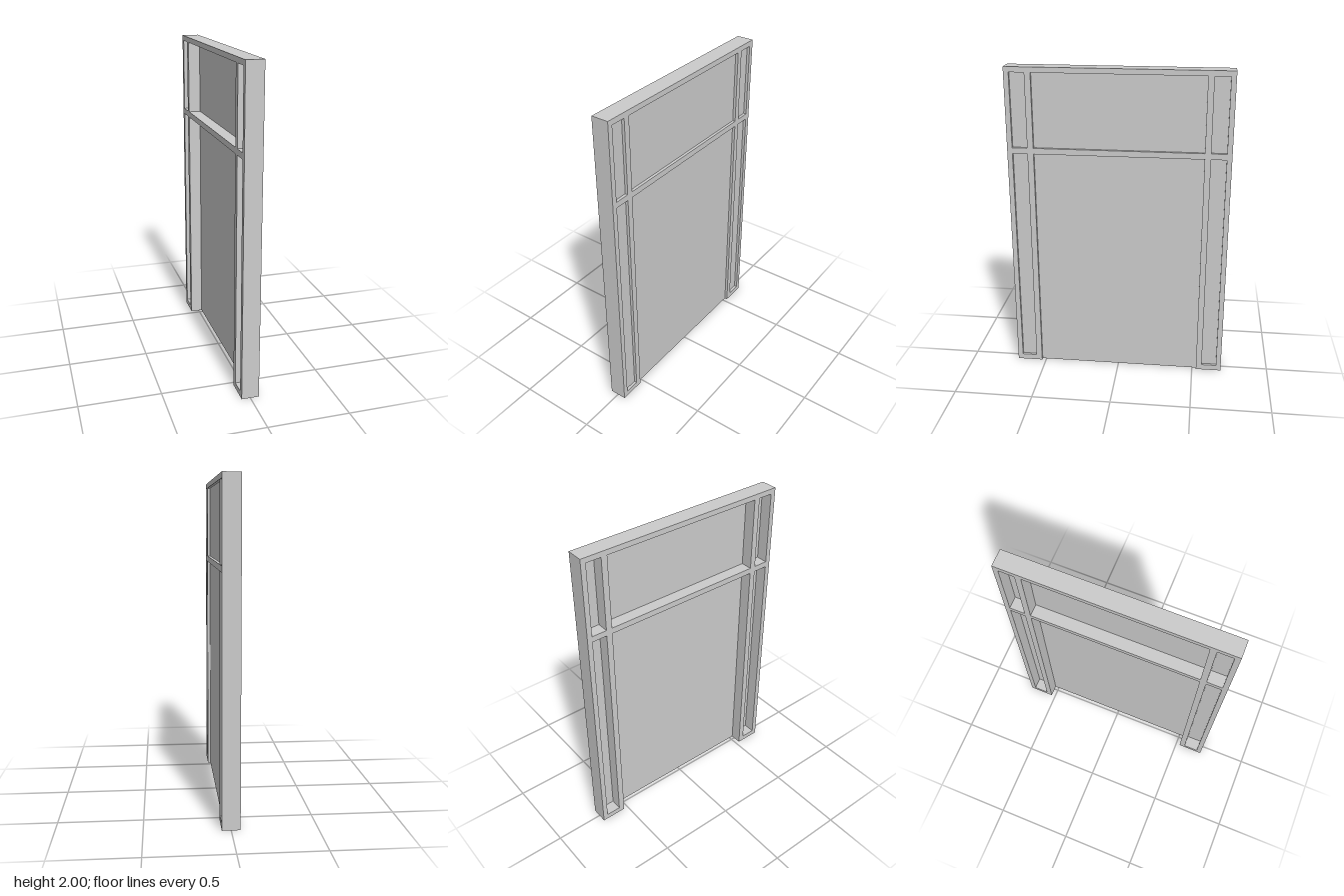
import * as THREE from 'three';

const DEPTH = 0.108;                         // frame thickness along x
const HALF = 0.692, HEIGHT = 2;              // overall half width (z) and height (y)
const SIDE_OUT = 0.66, SIDE_IN = 0.565;      // side light opening
const DOOR = 0.527;                          // half width of the middle opening
const SILL = 0.036, RAIL_LOW = 1.465, RAIL_HIGH = 1.502, HEAD = 1.967;
const PANEL_X = 0.029, PANEL_T = 0.014;      // pane position and thickness

export function createModel() {
  const group = new THREE.Group();
  const material = new THREE.MeshStandardMaterial({ color: 0xcccccc, flatShading: true });

  // openings as [name, z0, z1, y0, y1]
  const openings = [
    ['doorPanel', -DOOR, DOOR, 0, RAIL_LOW],
    ['transomPanel', -DOOR, DOOR, RAIL_HIGH, HEAD],
  ];
  for (const [side, a, b] of [['front', SIDE_IN, SIDE_OUT], ['back', -SIDE_OUT, -SIDE_IN]]) {
    openings.push([side + 'SidePanel', a, b, SILL, RAIL_LOW]);
    openings.push([side + 'UpperSidePanel', a, b, RAIL_HIGH, HEAD]);
  }

  // frame outline with the middle opening running down to the floor
  const outline = new THREE.Shape([
    [-HALF, 0], [-DOOR, 0], [-DOOR, RAIL_LOW], [DOOR, RAIL_LOW],
    [DOOR, 0], [HALF, 0], [HALF, HEIGHT], [-HALF, HEIGHT],
  ].map(([z, y]) => new THREE.Vector2(z, y)));
  for (const [, z0, z1, y0, y1] of openings.slice(1)) {
    outline.holes.push(new THREE.Path([
      new THREE.Vector2(z0, y0), new THREE.Vector2(z0, y1),
      new THREE.Vector2(z1, y1), new THREE.Vector2(z1, y0),
    ]));
  }
  const frameGeometry = new THREE.ExtrudeGeometry(outline, { depth: DEPTH, bevelEnabled: false });
  frameGeometry.translate(0, 0, -DEPTH / 2).rotateY(-Math.PI / 2);
  const frame = new THREE.Mesh(frameGeometry, material);
  frame.name = 'frame';
  group.add(frame);

  // thin panes, set close to the +x face
  for (const [name, z0, z1, y0, y1] of openings) {
    const pane = new THREE.Mesh(new THREE.BoxGeometry(PANEL_T, y1 - y0, z1 - z0), material);
    pane.position.set(PANEL_X, (y0 + y1) / 2, (z0 + z1) / 2);
    pane.name = name;
    group.add(pane);
  }
  return group;
}
